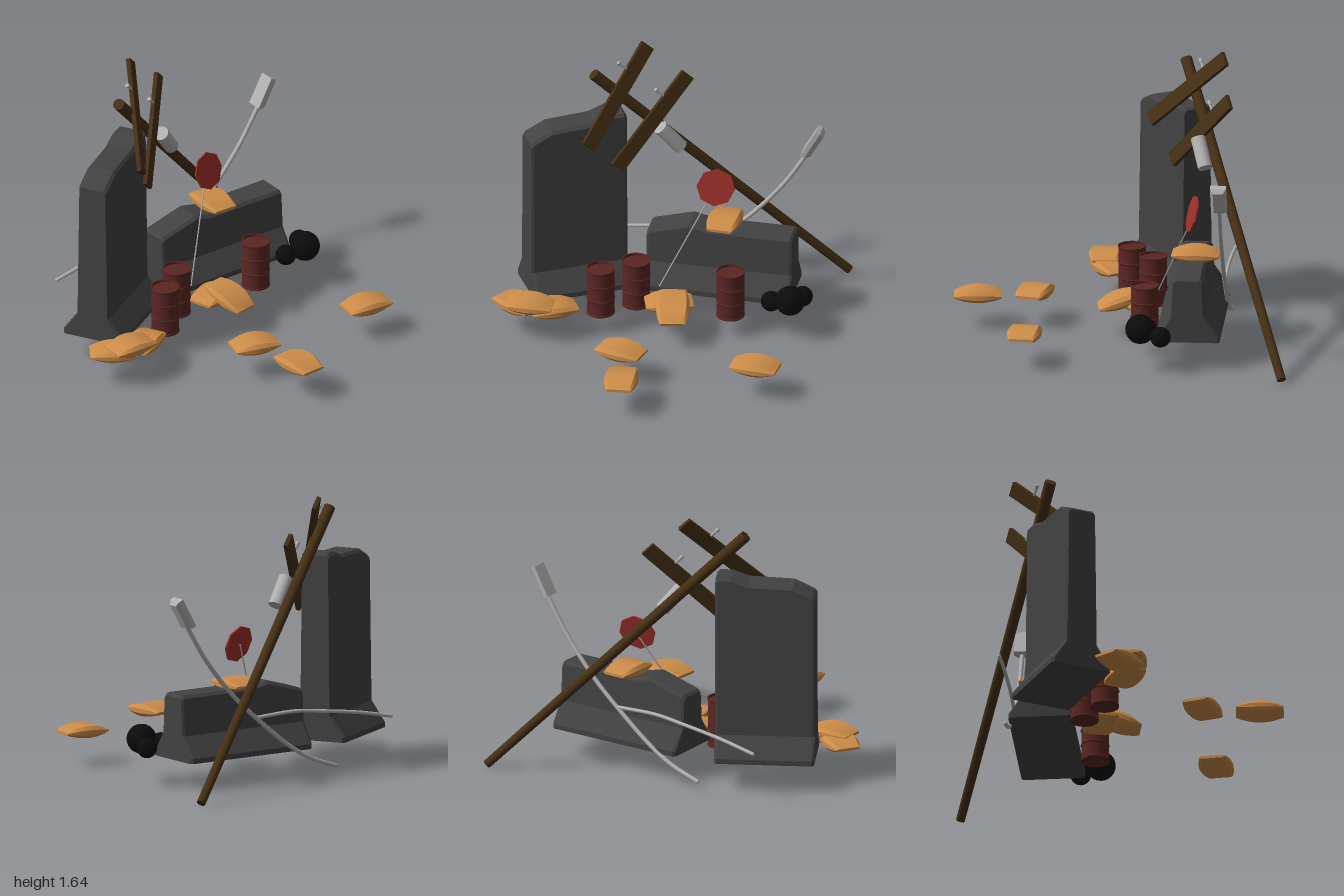
import * as THREE from 'three';
import { toCreasedNormals } from 'three/addons/utils/BufferGeometryUtils.js';

const V = (x, y, z) => new THREE.Vector3(x, y, z);
const mat = (color, flatShading = false) => new THREE.MeshStandardMaterial({ color, flatShading });

const concrete = mat(0x424242, true);
const wood = mat(0x453015);
const rust = mat(0x5a2623);
const cloth = mat(0xcc8c48);
const plastic = mat(0x0c0c0c, true);
const steel = mat(0xb0b0b0);
const red = mat(0xa0302a, true);

// Skin of equal rings set along +x; each ring is [z, y] pairs, capped round (0, capY)
function loft(sections, capY) {
  const pos = [];
  const tri = (...pts) => pts.forEach((p) => pos.push(...p));
  const rings = sections.map(({ x, ring }) => ring.map(([z, y]) => [x, y, z]));
  const n = rings[0].length;
  const last = rings.length - 1;
  for (let j = 0; j < n; j++) {
    const k = (j + 1) % n;
    for (let i = 0; i < last; i++) {
      const a = rings[i][j], b = rings[i + 1][j], c = rings[i + 1][k], d = rings[i][k];
      tri(a, b, c);
      tri(a, c, d);
    }
    tri([sections[0].x, capY, 0], rings[0][j], rings[0][k]);
    tri([sections[last].x, capY, 0], rings[last][k], rings[last][j]);
  }
  const g = new THREE.BufferGeometry();
  g.setAttribute('position', new THREE.Float32BufferAttribute(pos, 3));
  g.computeVertexNormals();
  return g;
}

// Mirror a half profile (bottom to top on the +z side) into a closed ring
const mirrorRing = (half) => [...half, ...half.map(([z, y]) => [-z, y]).reverse()];

// Flared road barrier with a broken top line given as [x, y] points
function barrierGeometry(topLine) {
  const bevel = 0.015;
  const section = (x, top, s) => ({
    x,
    ring: mirrorRing([[0.185 * s, 0.17], [0.185 * s, 0.2], [0.1 * s, 0.32],
      [0.088 * s, top - 0.018], [0.072 * s, top]]),
  });
  const sections = topLine.map(([x, y]) => section(x, y, 1));
  const [x0, y0] = topLine[0];
  const [x1, y1] = topLine[topLine.length - 1];
  sections.unshift(section(x0 - bevel, y0 - bevel, 0.93));
  sections.push(section(x1 + bevel, y1 - bevel, 0.93));
  return loft(sections, 0.25);
}

// Stuffed bag: barrel-shaped outline, lens-shaped along its length
function sandbagGeometry() {
  const sections = [];
  for (let i = 0; i <= 12; i++) {
    const t = i / 6 - 1;
    const swell = 1 - t * t;
    const w = 0.073 + 0.024 * swell;
    const top = 0.006 + 0.032 * swell;
    const low = -0.01 - 0.022 * swell;
    sections.push({
      x: t * 0.138 * (1 - 0.02 * swell),
      ring: mirrorRing([[w * 0.82, low], [w, low * 0.4], [w, top * 0.4], [w * 0.82, top]]),
    });
  }
  return toCreasedNormals(loft(sections, 0), 0.5);
}

// Cylinder from a (radius ra) to b (radius rb)
function rod(a, b, ra, rb, material, sides = 16) {
  const dir = b.clone().sub(a);
  const m = new THREE.Mesh(new THREE.CylinderGeometry(rb, ra, dir.length(), sides), material);
  m.position.copy(a).addScaledVector(dir, 0.5);
  m.quaternion.setFromUnitVectors(V(0, 1, 0), dir.normalize());
  return m;
}

// Turn an object so its local y and z follow the given directions
function orient(obj, yDir, zHint) {
  const y = yDir.clone().normalize();
  const x = y.clone().cross(zHint).normalize();
  obj.quaternion.setFromRotationMatrix(new THREE.Matrix4().makeBasis(x, y, x.clone().cross(y)));
}

export function createModel() {
  const model = new THREE.Group();
  const add = (name, obj) => {
    obj.name = name;
    model.add(obj);
    return obj;
  };

  // Concrete barriers
  const low = add('lowBarrier', new THREE.Mesh(barrierGeometry(
    [[-0.415, 0.515], [-0.18, 0.58], [-0.07, 0.555], [0.415, 0.555]]), concrete));
  low.position.set(0.303, 0, -0.415);
  const tall = add('tallBarrier', new THREE.Mesh(barrierGeometry(
    [[-0.275, 1.175], [-0.16, 1.23], [0.1, 1.24], [0.2, 1.275], [0.275, 1.275]]), concrete));
  tall.position.set(-0.535, 0, -0.255);
  tall.rotation.y = Math.PI / 6;

  // Ribbed drums with a recessed lid
  const drumProfile = [[0, 0], [0.083, 0], [0.083, 0.008], [0.08, 0.012], [0.08, 0.092], [0.084, 0.098],
    [0.08, 0.104], [0.08, 0.186], [0.084, 0.192], [0.08, 0.198], [0.08, 0.278], [0.083, 0.282],
    [0.083, 0.29], [0.076, 0.29], [0.076, 0.275], [0, 0.275]].map(([r, y]) => new THREE.Vector2(r, y));
  const drumGeometry = toCreasedNormals(new THREE.LatheGeometry(drumProfile, 28), 0.5);
  for (const [x, z] of [[-0.33, -0.02], [-0.15, -0.155], [0.41, -0.145]]) {
    add('drum', new THREE.Mesh(drumGeometry, rust)).position.set(x, 0.12, z);
  }

  // Round refuse sacks
  for (const [x, y, z, r] of [[0.763, 0.256, -0.145, 0.087], [0.645, 0.225, -0.17, 0.06], [0.81, 0.225, -0.265, 0.06]]) {
    add('refuseSack', new THREE.Mesh(new THREE.IcosahedronGeometry(r, 3), plastic)).position.set(x, y, z);
  }

  // Sandbags: position, heading in degrees, tilt in degrees
  const bag = sandbagGeometry();
  for (const [x, y, z, heading, tilt] of [
    [-0.795, 0.193, 0.11, -33, 0], [-0.58, 0.193, 0.12, 29, 0], [-0.71, 0.228, 0.16, 0, 0],
    [-0.09, 0.197, 0.525, -15, 0], [0.705, 0.197, 0.53, -5, 0], [-0.015, 0.197, 0.85, 94, 0],
    [0.313, 0.577, -0.435, 88, 0], [0.06, 0.2, -0.08, 18, 0], [0.105, 0.22, 0.015, 101, 17]]) {
    const b = add('sandbag', new THREE.Mesh(bag, cloth));
    b.position.set(x, y, z);
    b.rotation.set(0, THREE.MathUtils.degToRad(heading), THREE.MathUtils.degToRad(tilt));
  }

  // Fallen utility pole
  const poleTop = V(-0.44, 1.515, -0.325);
  const poleFoot = V(0.93, 0.02, -0.975);
  const poleDir = poleFoot.clone().sub(poleTop).normalize();
  add('utilityPole', rod(poleTop, poleFoot, 0.034, 0.026, wood));

  // Crossarms, each with a small insulator peg on its upper edge
  for (const [a, b] of [[V(-0.175, 1.605, -0.57), V(-0.425, 1.148, -0.12)], [V(0.055, 1.418, -0.61), V(-0.285, 0.95, -0.255)]]) {
    const along = a.clone().sub(b);
    const arm = add('crossarm', new THREE.Mesh(new THREE.BoxGeometry(0.025, along.length(), 0.088), wood));
    arm.position.copy(a).add(b).multiplyScalar(0.5);
    orient(arm, along, poleDir);
    const base = a.clone().lerp(b, 0.27);
    const tip = base.clone().addScaledVector(poleDir, -0.11);
    add('insulatorPeg', rod(base, tip, 0.008, 0.008, steel, 8));
    add('insulatorCap', rod(base.clone().lerp(tip, 0.75), tip, 0.012, 0.012, steel, 8));
  }
  add('transformer', rod(V(-0.065, 1.155, -0.42), V(0.045, 1.01, -0.47), 0.043, 0.043, steel, 20));

  // Leaning octagonal road sign
  const signCentre = V(0.265, 0.8, -0.41);
  const post = V(-0.02, 0.23, -0.19);
  add('signPost', rod(post, signCentre.clone().add(V(-0.004, -0.005, -0.012)), 0.004, 0.004, steel, 8));
  const plate = new THREE.CylinderGeometry(0.112, 0.112, 0.01, 8);
  plate.rotateY(Math.PI / 8).rotateX(Math.PI / 2);
  const sign = add('signPlate', new THREE.Mesh(plate, red));
  sign.position.copy(signCentre);
  orient(sign, signCentre.clone().sub(post), V(0.27, 0.33, 1));

  // Toppled street lamp: bent main tube and a side branch, both in one plane
  const tube = (points, r) => new THREE.Mesh(new THREE.TubeGeometry(
    new THREE.CatmullRomCurve3(points.map(([x, y]) => V(x, y, -0.6))), 40, r, 10), steel);
  const ends = (points, r) => [points[0], points[points.length - 1]].forEach(([x, y]) => {
    const cap = add('lampTubeEnd', new THREE.Mesh(new THREE.SphereGeometry(r, 10, 6), steel));
    cap.position.set(x, y, -0.6);
  });
  const mainPath = [[0.77, 0.99], [0.63, 0.77], [0.445, 0.55], [0.27, 0.39], [0.03, 0.2], [-0.12, 0.115], [-0.29, 0.055]];
  const branchPath = [[0.28, 0.395], [0, 0.405], [-0.19, 0.385], [-0.45, 0.35], [-0.68, 0.305]];
  add('lampPost', tube(mainPath, 0.013));
  add('lampBranch', tube(branchPath, 0.011));
  ends(mainPath, 0.013);
  ends(branchPath, 0.011);

  // Lamp head: a box whose outer side tapers to a smaller face
  const headGeometry = new THREE.BoxGeometry(0.055, 0.19, 0.092, 2, 1, 1);
  const p = headGeometry.attributes.position;
  for (let i = 0; i < p.count; i++) {
    if (p.getX(i) > 0.01) p.setXYZ(i, p.getX(i), p.getY(i) * 0.84, p.getZ(i) * 0.62);
  }
  const head = add('lampHead', new THREE.Mesh(toCreasedNormals(headGeometry, 0.3), steel));
  head.position.set(0.802, 1.06, -0.6);
  head.rotation.z = -0.51;

  return model;
}
